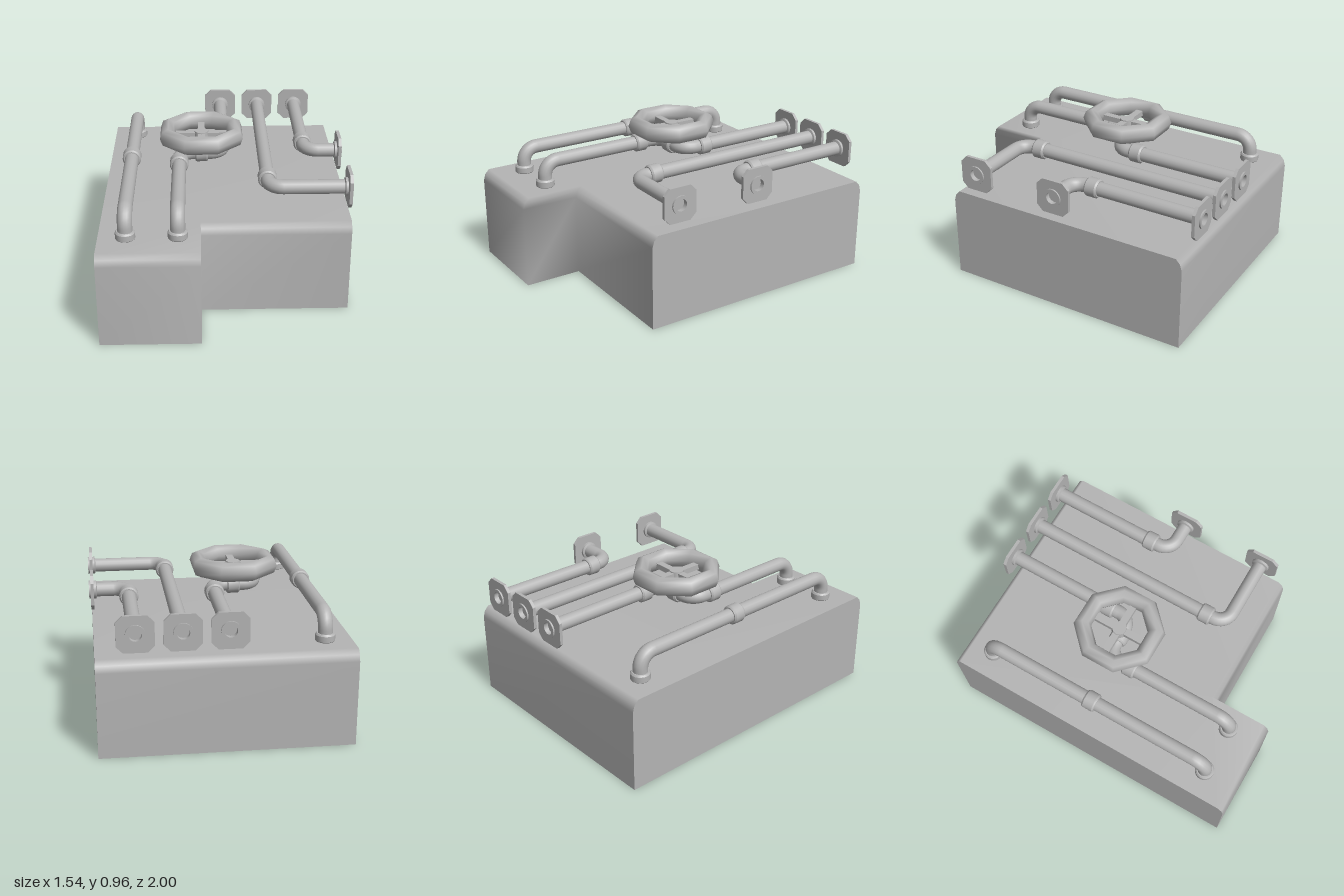
import * as THREE from 'three';
import { mergeGeometries, toCreasedNormals } from 'three/addons/utils/BufferGeometryUtils.js';

const V = (x, y, z) => new THREE.Vector3(x, y, z);
const grey = new THREE.MeshStandardMaterial({ name: 'grey metal', color: 0xb4b4b4, side: THREE.DoubleSide });
const PIPE_R = 0.045, PIPE_Y = 0.76, BEND = 0.09;

function mesh(name, geometry, parent) {
  const m = new THREE.Mesh(geometry, grey);
  m.name = name;
  parent.add(m);
  return m;
}

const lathe = (pts) =>
  toCreasedNormals(new THREE.LatheGeometry(pts.map(([x, y]) => new THREE.Vector2(x, y)), 20), 0.6);

// Strips of an open-bottomed shell, following chosen edges of the L-shaped plan
function shellPart(segments, withTop) {
  const plan = [[-0.775, 1, 1], [-0.165, 1, 1], [-0.165, 0.63, 1], [0.755, 0.63, 1], [0.755, -0.98, -1], [-0.775, -0.98, -1]];
  const profile = [[0, 0], [0, 0.53], [0.012, 0.57], [0.04, 0.6]]; // inset, height
  const n = plan.length, pos = [], idx = [];
  for (const [inset, y] of profile)
    for (const [x, z, side] of plan) pos.push(x, y, z - side * inset);
  for (const i of segments) {
    const j = (i + 1) % n;
    for (let k = 0; k < profile.length - 1; k++) {
      const lo = k * n, hi = lo + n;
      idx.push(lo + i, lo + j, hi + j, lo + i, hi + j, hi + i);
    }
  }
  if (withTop) {
    const t = (profile.length - 1) * n;
    idx.push(...[0, 1, 2, 0, 2, 5, 2, 3, 4, 2, 4, 5].map((v) => v + t));
  }
  const g = new THREE.BufferGeometry();
  g.setAttribute('position', new THREE.Float32BufferAttribute(pos, 3));
  g.setIndex(idx);
  g.computeVertexNormals();
  return g;
}

// Straight runs joined by quarter-round elbows
function pipe(name, pts, parent) {
  const parts = [];
  let from = pts[0];
  const add = (curve, steps) => parts.push(new THREE.TubeGeometry(curve, steps, PIPE_R, 16));
  for (let i = 1; i < pts.length; i++) {
    const corner = pts[i];
    if (i === pts.length - 1) {
      add(new THREE.LineCurve3(from, corner), 1);
      break;
    }
    const before = corner.clone().add(pts[i - 1].clone().sub(corner).setLength(BEND));
    const after = corner.clone().add(pts[i + 1].clone().sub(corner).setLength(BEND));
    add(new THREE.LineCurve3(from, before), 1);
    add(new THREE.CubicBezierCurve3(before, before.clone().lerp(corner, 0.552), after.clone().lerp(corner, 0.552), after), 8);
    from = after;
  }
  return mesh(name, mergeGeometries(parts), parent);
}

// Sleeve around a pipe, lying along the given axis
function collar(x, y, z, axis, length, parent) {
  const h = length / 2, c = 0.01;
  const m = mesh('collar', lathe([[0.043, -h], [0.052, -h], [0.06, -h + c], [0.06, h - c], [0.052, h], [0.043, h]]), parent);
  if (axis === 'x') m.rotation.z = Math.PI / 2;
  if (axis === 'z') m.rotation.x = Math.PI / 2;
  m.position.set(x, y, z);
}

// Square end plate with cut corners and a recessed round mouth, facing local +z
function flange(x, z, turn, parent) {
  const g = new THREE.Group();
  g.name = 'flange';
  const a = 0.11, b = 0.07;
  const outline = [[a, -b], [a, b], [b, a], [-b, a], [-a, b], [-a, -b], [-b, -a], [b, -a]];
  const shape = new THREE.Shape(outline.map(([u, v]) => new THREE.Vector2(u, v)));
  shape.holes.push(new THREE.Path().absarc(0, 0, 0.05, 0, Math.PI * 2, true));
  const plate = new THREE.ExtrudeGeometry(shape, { depth: 0.02, bevelEnabled: false, curveSegments: 12 });
  mesh('flangePlate', plate, g).position.z = -0.03;
  const rim = lathe([[0.045, -0.05], [0.058, -0.045], [0.058, 0], [0.038, 0], [0.038, -0.03], [0, -0.03]]);
  mesh('flangeMouth', rim.rotateX(Math.PI / 2), g);
  g.position.set(x, PIPE_Y, z);
  g.rotation.y = turn;
  parent.add(g);
}

function handwheel(x, z, parent) {
  const g = new THREE.Group();
  g.name = 'handwheel';
  const rim = new THREE.TorusGeometry(0.233, 0.056, 8, 8);
  rim.rotateZ(Math.PI / 8).rotateX(Math.PI / 2).scale(1, 1.12, 1);
  mesh('wheelRim', rim, g).position.y = 0.9;
  for (let i = 0; i < 2; i++) {
    const spoke = mesh('spokes', new THREE.BoxGeometry(0.4, 0.035, 0.045), g);
    spoke.position.y = 0.89;
    spoke.rotation.y = i * Math.PI / 2;
  }
  mesh('hub', new THREE.CylinderGeometry(0.045, 0.05, 0.05, 12), g).position.y = 0.89;
  mesh('stem', new THREE.CylinderGeometry(0.03, 0.03, 0.1, 12), g).position.y = 0.84;
  g.position.set(x, 0, z);
  parent.add(g);
}

export function createModel() {
  const model = new THREE.Group();
  model.name = 'pipeBlock';

  // Base block: softly shaded front, back and top, crisp end walls
  mesh('base', shellPart([0, 1, 2, 4], true), model);
  mesh('baseEnds', shellPart([3, 5], false), model);

  const Y = PIPE_Y, low = 0.6, backEnd = -0.96, sideEnd = 0.73;

  // Long pipe diving into the base at both ends
  pipe('loopPipe', [V(-0.61, low, 0.775), V(-0.61, Y, 0.775), V(-0.61, Y, -0.785), V(-0.61, low, -0.785)], model);
  collar(-0.61, Y, -0.037, 'z', 0.085, model);

  // Valve pipe: out of the base, across under the wheel, then to the back
  pipe('valvePipe', [V(-0.3, low, 0.775), V(-0.3, Y, 0.775), V(-0.3, Y, -0.1),
    V(-0.015, Y, -0.1), V(-0.015, Y, backEnd)], model);
  collar(-0.3, Y, 0.065, 'z', 0.085, model);
  collar(-0.155, Y, -0.1, 'x', 0.085, model);
  collar(-0.015, Y, -0.26, 'z', 0.085, model);

  // Collars where pipes enter the base
  for (const [x, z] of [[-0.61, 0.775], [-0.61, -0.785], [-0.3, 0.775]]) collar(x, 0.622, z, 'y', 0.056, model);

  // Two pipes turning from the back to the left side
  for (const [x, z, cz] of [[0.255, 0.44, 0.3], [0.525, -0.12, -0.263]]) {
    pipe('cornerPipe', [V(x, Y, backEnd), V(x, Y, z), V(sideEnd, Y, z)], model);
    collar(x, Y, cz, 'z', 0.085, model);
    flange(0.77, z, Math.PI / 2, model);
  }
  for (const x of [-0.015, 0.255, 0.525]) flange(x, -1, Math.PI, model);

  handwheel(-0.155, -0.1, model);
  return model;
}
